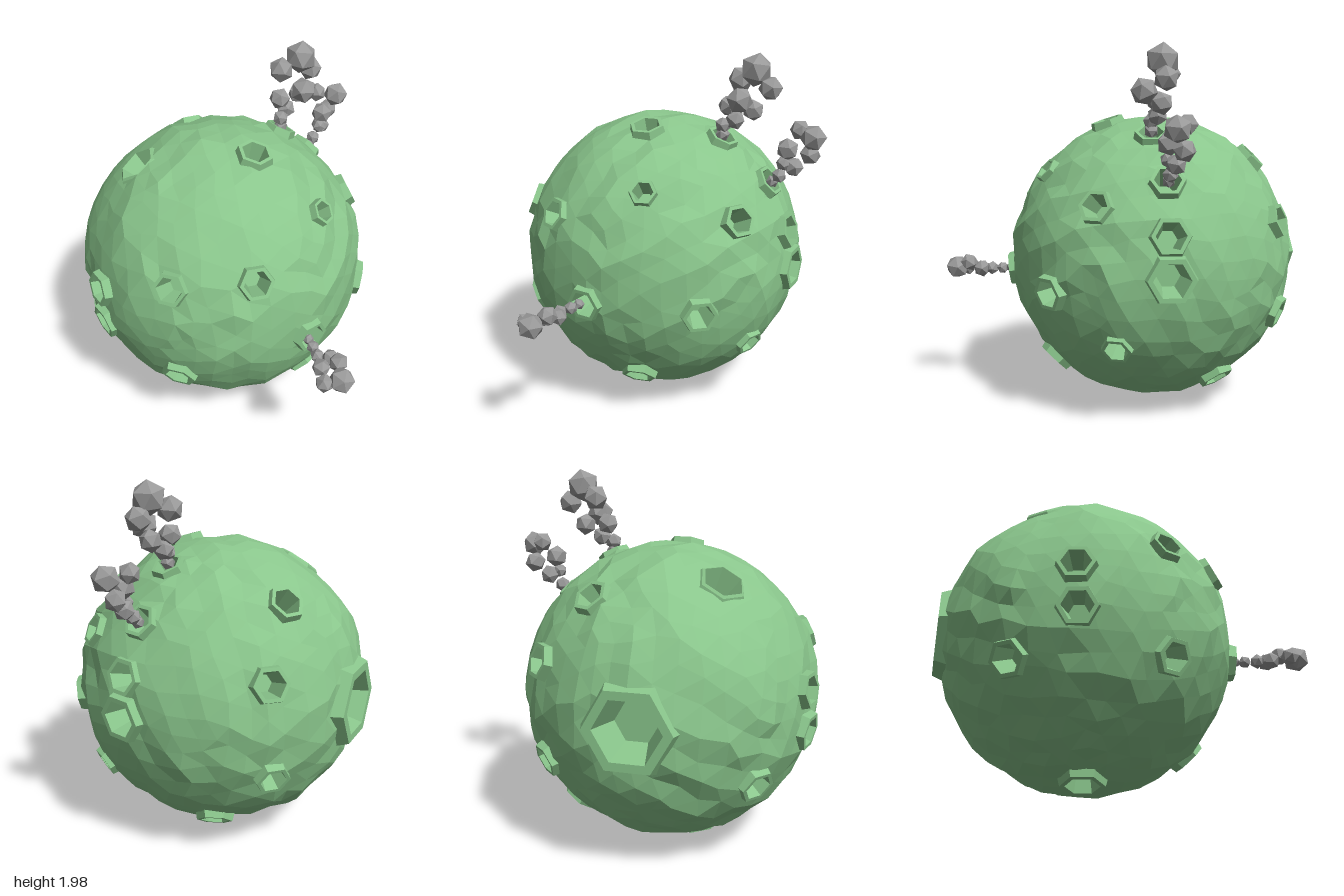
import * as THREE from 'three';

const V = (x, y, z) => new THREE.Vector3(x, y, z);
const CENTRE = V(-0.05, 0.82, -0.18);
const R = 0.79;

// Craters: direction from the planet centre, outer radius, rim height
const CRATERS = [
  [-0.35, 0.33, 0.63, 0.095], [0.15, 0.5, 0.6, 0.075], [0.59, 0.35, 0.4, 0.095],
  [0.47, -0.1, 0.62, 0.1], [-0.1, -0.075, 0.77, 0.1], [0.1, -0.55, 0.56, 0.1],
  [0.63, -0.36, 0.3, 0.085], [-0.65, -0.29, 0.35, 0.1], [-0.65, 0.29, 0.33, 0.095],
  [0.01, 0.75, 0.25, 0.1], [0.44, -0.6, -0.27, 0.1], [-0.78, 0.1, -0.12, 0.1],
  [-0.78, -0.12, -0.11, 0.105], [0.76, 0.22, 0.06, 0.105], [0.79, 0.01, 0.06, 0.13],
  [0.43, -0.26, -0.6, 0.095], [0.46, 0.24, -0.59, 0.1], [0.21, 0.56, -0.51, 0.1],
  [0.63, 0.47, 0.05, 0.095], [0.38, 0.7, 0.08, 0.09], [-0.09, 0.01, -0.78, 0.235],
  [-0.6, -0.32, -0.41, 0.1], [-0.17, -0.77, -0.02, 0.12], [-0.37, 0.64, -0.26, 0.13, 0.006],
].map(([x, y, z, r, rim = 0.03]) => {
  const n = V(x, y, z).normalize();
  const u = V(0, 1, 0).cross(n).normalize();      // a hexagon corner points this way
  const v = n.clone().cross(u);
  return { n, u, v, r, rim, hole: r * 0.84, pos: n.clone().multiplyScalar(R) };
});

// Smoke balls: x, y, z, radius
const PLUMES = {
  topPlume: [
    [0.33, 1.54, -0.1, 0.04], [0.33, 1.59, -0.1, 0.045], [0.39, 1.62, -0.12, 0.055],
    [0.35, 1.69, -0.13, 0.06], [0.49, 1.68, -0.12, 0.06], [0.44, 1.74, -0.04, 0.073],
    [0.40, 1.83, -0.17, 0.07], [0.58, 1.8, -0.12, 0.067], [0.5, 1.89, -0.12, 0.09]],
  sidePlume: [
    [0.61, 1.3, -0.13, 0.035], [0.645, 1.335, -0.13, 0.042], [0.67, 1.41, -0.11, 0.04],
    [0.72, 1.39, -0.14, 0.055], [0.69, 1.49, -0.11, 0.062], [0.8, 1.46, -0.16, 0.058],
    [0.73, 1.58, -0.19, 0.055], [0.82, 1.56, -0.12, 0.072]],
  frontPlume: [
    [-0.18, 0.74, 0.62, 0.03], [-0.2, 0.735, 0.67, 0.035], [-0.23, 0.73, 0.73, 0.04],
    [-0.2, 0.74, 0.79, 0.047], [-0.27, 0.72, 0.79, 0.05], [-0.22, 0.77, 0.86, 0.052],
    [-0.34, 0.72, 0.875, 0.05], [-0.275, 0.735, 0.93, 0.07]],
};

// Keeps the part of a polygon where sign * (m.p - d) >= 0
function clip(poly, m, d, sign) {
  const out = [];
  poly.forEach((a, i) => {
    const b = poly[(i + 1) % poly.length];
    const da = sign * (m.dot(a) - d), db = sign * (m.dot(b) - d);
    if (da >= 0) out.push(a);
    if ((da > 0 && db < 0) || (da < 0 && db > 0)) out.push(a.clone().lerp(b, da / (da - db)));
  });
  return out;
}

// Cuts the hexagonal crater opening out of one polygon
function cutHole(poly, c) {
  if (!poly.some(p => p.distanceTo(c.pos) < c.r + 0.18)) return [poly];
  const kept = [];
  let rest = poly;
  for (let k = 0; k < 6 && rest.length > 2; k++) {
    const a = (k + 0.5) * Math.PI / 3;
    const m = c.u.clone().multiplyScalar(Math.cos(a)).addScaledVector(c.v, Math.sin(a));
    const d = m.dot(c.pos) + c.hole * Math.cos(Math.PI / 6);
    const outer = clip(rest, m, d, 1);
    if (outer.length > 2) kept.push(outer);
    rest = clip(rest, m, d, -1);
  }
  return kept;
}

// Lumpy faceted ball with crater openings
function planetGeometry() {
  const p = new THREE.IcosahedronGeometry(R, 7).attributes.position;
  const bump = i => {
    const q = V().fromBufferAttribute(p, i), { x, y, z } = q;
    const wob = (a, b, c) => Math.sin(a * x + b * y + c * z + a);
    q.add(V(wob(37, 51, 29), wob(43, -31, 57), wob(-53, 41, 33)).multiplyScalar(0.018));
    return q.setLength(R + 0.009 * wob(31, 23, -41) + 0.006 * wob(-19, 47, 27));
  };
  const verts = [];
  for (let i = 0; i < p.count; i += 3) {
    let polys = [[bump(i), bump(i + 1), bump(i + 2)]];
    for (const c of CRATERS) polys = polys.flatMap(poly => cutHole(poly, c));
    for (const poly of polys)
      for (let k = 1; k < poly.length - 1; k++)
        for (const q of [poly[0], poly[k], poly[k + 1]]) verts.push(q.x, q.y, q.z);
  }
  const g = new THREE.BufferGeometry();
  g.setAttribute('position', new THREE.Float32BufferAttribute(verts, 3));
  g.computeVertexNormals();
  return g;
}

// Six-sided rim and tapering pit
function craterGeometry({ r, rim }) {
  const drop = r * r / (2 * R);
  const flush = rim < 0.02;
  const depth = -Math.min(0.11, r) - drop;
  const profile = [
    [r * 1.08, -drop - 0.03], [r * 0.95, flush ? -drop : rim - drop * 0.4],
    [r * (flush ? 0.84 : 0.74), rim - drop * (flush ? 0.7 : 0.4)], [r * 0.48, depth], [0, depth],
  ];
  return new THREE.LatheGeometry(profile.map(([x, y]) => new THREE.Vector2(x, y)), 6);
}

export function createModel() {
  const green = new THREE.MeshStandardMaterial({ color: 0x8ac68c, flatShading: true });
  green.name = 'planetGreen';
  const grey = new THREE.MeshStandardMaterial({ color: 0x999999, flatShading: true });
  grey.name = 'smokeGrey';

  const model = new THREE.Group();
  model.name = 'crateredPlanet';

  // Planet with its craters
  const planet = new THREE.Group();
  planet.name = 'planet';
  planet.position.copy(CENTRE);
  const surface = new THREE.Mesh(planetGeometry(), green);
  surface.name = 'planetSurface';
  planet.add(surface);
  CRATERS.forEach((c, i) => {
    const crater = new THREE.Mesh(craterGeometry(c), green);
    crater.name = `crater${i + 1}`;
    crater.quaternion.setFromRotationMatrix(
      new THREE.Matrix4().makeBasis(c.n.clone().cross(c.u), c.n, c.u));
    crater.position.copy(c.pos);
    planet.add(crater);
  });
  model.add(planet);

  // Smoke plumes rising from three craters
  const ball = new THREE.IcosahedronGeometry(1, 0);
  for (const [name, balls] of Object.entries(PLUMES)) {
    const plume = new THREE.Group();
    plume.name = name;
    balls.forEach(([x, y, z, r], i) => {
      const puff = new THREE.Mesh(ball, grey);
      puff.name = `smokePuff${i + 1}`;
      puff.position.set(x, y, z);
      puff.scale.setScalar(r);
      puff.rotation.set(i * 1.3, i * 2.1, i * 0.7);
      plume.add(puff);
    });
    model.add(plume);
  }
  return model;
}
